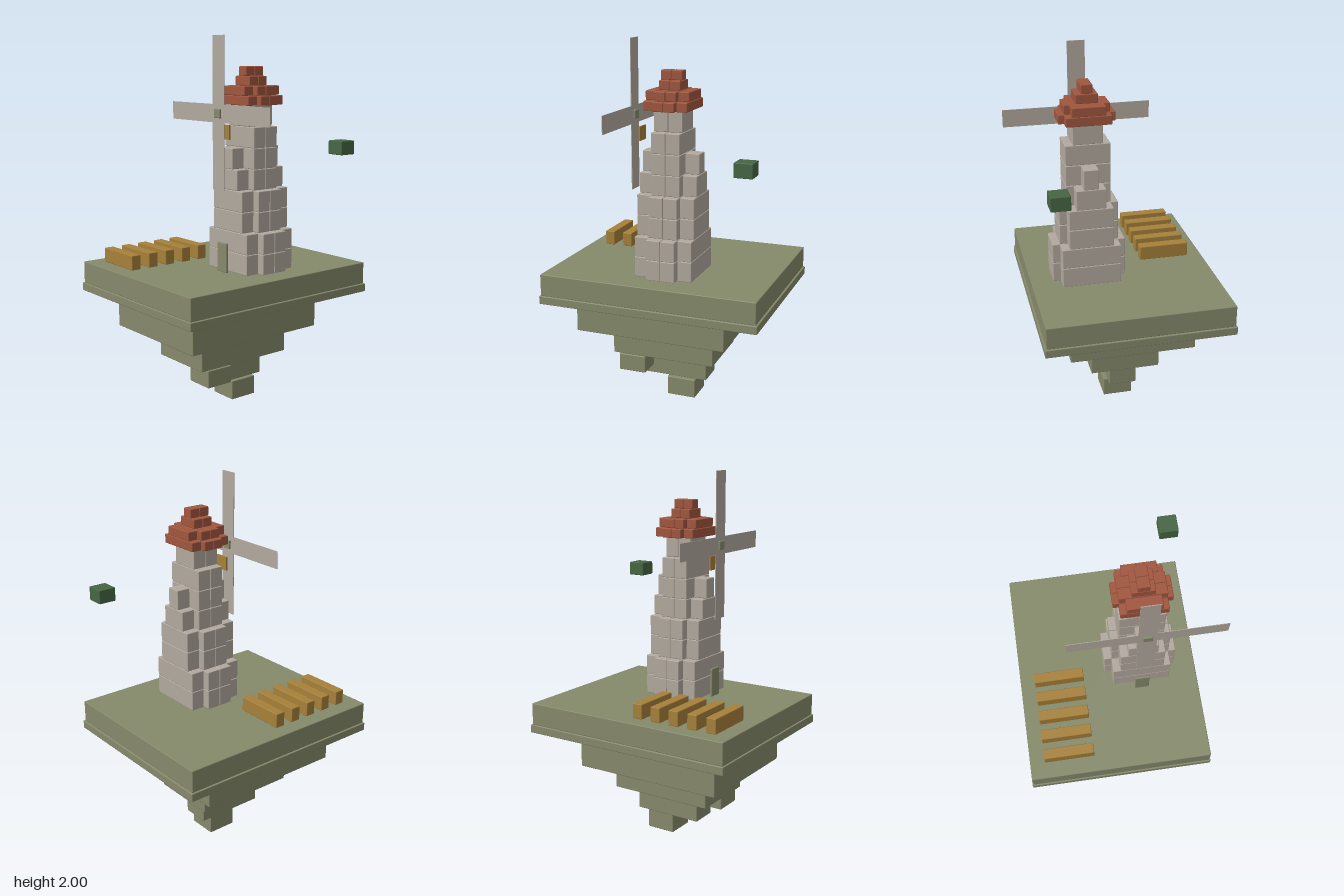
import * as THREE from 'three';
import { RoundedBoxGeometry } from 'three/addons/geometries/RoundedBoxGeometry.js';

const paint = (name, color) => {
  const m = new THREE.MeshStandardMaterial({ color });
  m.name = name;
  return m;
};

export function createModel() {
  const root = new THREE.Group();
  root.name = 'floatingWindmillIsland';
  const moss = paint('mossGreen', 0x868a6b);
  const stone = paint('paleStone', 0xb2a99e);
  const tile = paint('roofRed', 0xa0563e);
  const wheat = paint('wheatGold', 0xa68039);
  const leaf = paint('leafGreen', 0x466643);

  const group = (name) => {
    const g = new THREE.Group();
    g.name = name;
    root.add(g);
    return g;
  };
  // Block given by its extents, with slightly softened edges
  const block = (parent, name, mat, [x0, x1], [y0, y1], [z0, z1], bevel = 0.004) => {
    const w = x1 - x0, h = y1 - y0, d = z1 - z0;
    const geo = bevel ? new RoundedBoxGeometry(w, h, d, 1, bevel) : new THREE.BoxGeometry(w, h, d);
    const mesh = new THREE.Mesh(geo, mat);
    mesh.name = name;
    mesh.position.set((x0 + x1) / 2, (y0 + y1) / 2, (z0 + z1) / 2);
    parent.add(mesh);
  };

  // Stepped island, from the ground slab down to the tip
  const island = group('island');
  [
    ['groundSlab', [-0.535, 0.46], [0.65, 0.77], [-0.595, 0.6]],
    ['slabRim', [-0.543, 0.468], [0.605, 0.65], [-0.604, 0.607]],
    ['upperStep', [-0.39, 0.3], [0.41, 0.605], [-0.38, 0.47]],
    ['middleStep', [-0.215, 0.167], [0.252, 0.41], [-0.275, 0.312]],
    ['lowerStep', [-0.104, 0.048], [0.107, 0.252], [-0.197, 0.19]],
    ['sideLump', [0.015, 0.175], [0.156, 0.252], [0.118, 0.275]],
    ['tip', [-0.094, 0.069], [0, 0.107], [-0.138, 0.026]],
  ].forEach(([name, x, y, z]) => block(island, name, moss, x, y, z));

  // Courses of four parallel blocks: the inner pair is longer than the outer pair
  const cx = 0.142, cz = -0.04;
  const courses = (parent, name, mat, y0, h, d, rows) => rows.forEach(([inner, outer], i) => {
    [-2, -1, 0, 1].forEach((k) => {
      const half = k === -1 || k === 0 ? inner : outer;
      if (!half) return;
      block(parent, name, mat, [cx - half, cx + half],
        [y0 + i * h, y0 + (i + 1) * h - 0.001], [cz + k * d + 0.0005, cz + (k + 1) * d - 0.0005]);
    });
  });
  courses(group('tower'), 'towerBlock', stone, 0.77, 0.1094, 0.0795, [
    [0.198, 0.158], [0.198, 0.158], [0.158, 0.119], [0.158, 0.119],
    [0.119, 0.079], [0.119, 0.04], [0.119, 0], [0.079, 0],
  ]);
  courses(group('roof'), 'roofBlock', tile, 1.646, 0.0495, 0.0595, [
    [0.148, 0.119], [0.119, 0.088], [0.058, 0], [0.03, 0],
  ]);

  // Door and window stand just in front of the tower
  block(root, 'door', moss, [0.102, 0.181], [0.77, 0.928], [0.144, 0.158]);
  block(root, 'window', wheat, [0.103, 0.181], [1.472, 1.547], [0.131, 0.14], 0);

  // Thin crossed sails and their hub
  const sails = group('sails');
  block(sails, 'verticalSail', stone, [0.095, 0.189], [1.21, 2], [0.175, 0.179], 0);
  block(sails, 'horizontalSail', stone, [-0.255, 0.539], [1.559, 1.653], [0.1755, 0.1785], 0);
  block(sails, 'hub', moss, [0.118, 0.166], [1.583, 1.63], [0.163, 0.19]);

  // Rows of wheat
  const field = group('wheatField');
  for (let i = 0; i < 5; i++) {
    const z = 0.047 + i * 0.1095;
    block(field, 'wheatRow', wheat, [-0.454, -0.178], [0.77, 0.85], [z - 0.028, z + 0.028]);
  }

  // Small floating bush
  block(root, 'floatingBush', leaf, [0.311, 0.411], [1.37, 1.445], [-0.548, -0.45]);
  return root;
}
